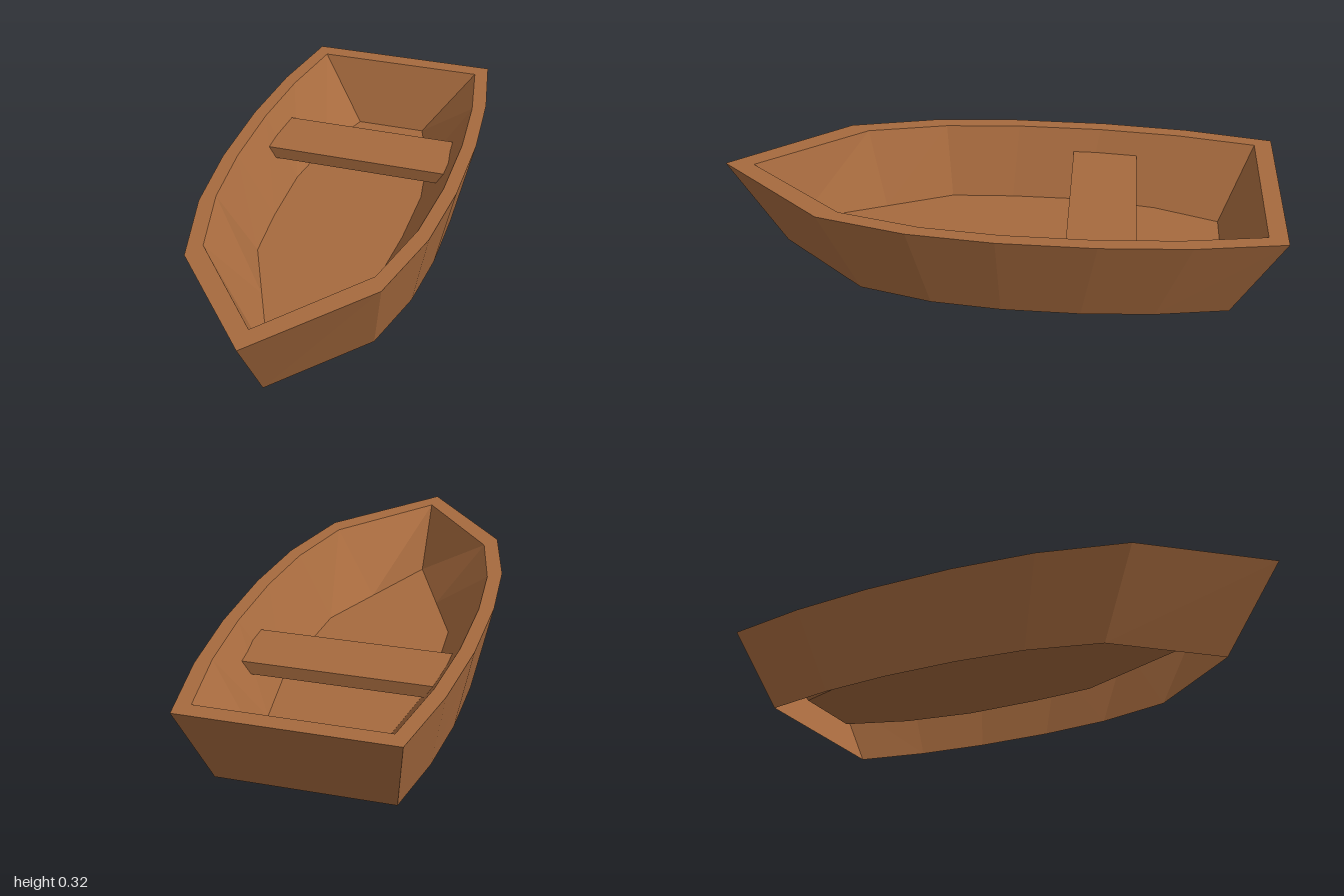
import * as THREE from 'three';

const wood = new THREE.MeshStandardMaterial({ color: 0xa66a3e, side: THREE.DoubleSide, flatShading: true });
wood.name = 'wood';

// Closed outline at height y from half-outline points [x, z], stern to bow
function ring(half, y) {
  const left = half.map(([x, z]) => [x, y, z]);
  const right = half.slice(0, -1).reverse().map(([x, z]) => [-x, y, z]);
  return [...left, ...right];
}

// Faceted band of quads between two matching rings
function band(name, a, b) {
  const pos = [];
  a.forEach((p, i) => {
    const j = (i + 1) % a.length;
    pos.push(...p, ...b[i], ...a[j], ...b[i], ...b[j], ...a[j]);
  });
  const geo = new THREE.BufferGeometry();
  geo.setAttribute('position', new THREE.Float32BufferAttribute(pos, 3));
  geo.computeVertexNormals();
  const mesh = new THREE.Mesh(geo, wood);
  mesh.name = name;
  return mesh;
}

export function createModel() {
  const boat = new THREE.Group();
  boat.name = 'rowboat';

  const gunwale = [[0.36, -1], [0.415, -0.685], [0.44, -0.37], [0.44, -0.03], [0.413, 0.275], [0.335, 0.595], [0, 1]];
  const floorLine = [[0.134, -0.81], [0.212, -0.575], [0.25, -0.315], [0.248, -0.035], [0.232, 0.195], [0.13, 0.435], [0, 0.74]];

  const top = ring(gunwale, 0.32);
  const bottom = ring(gunwale.map(([x, z]) => [x * 0.84, z * 0.815 - 0.02]), 0);
  const inner = ring(gunwale.map(([x, z]) => [x * 0.885, z * 0.915 - 0.02]), 0.32);
  const floor = ring(floorLine, 0.09);
  const centre = floor.map(([, y, z]) => [0, y, z]);

  // Flared shell, open underneath, with an inner skin and raised floor
  boat.add(
    band('outerHull', bottom, top),
    band('rim', top, inner),
    band('innerWall', inner, floor),
    band('floor', floor, centre),
  );

  // Bench set into the inner walls
  const bench = new THREE.Mesh(new THREE.BoxGeometry(0.77, 0.045, 0.24), wood);
  bench.name = 'bench';
  bench.position.set(0, 0.222, -0.38);
  boat.add(bench);

  return boat;
}
